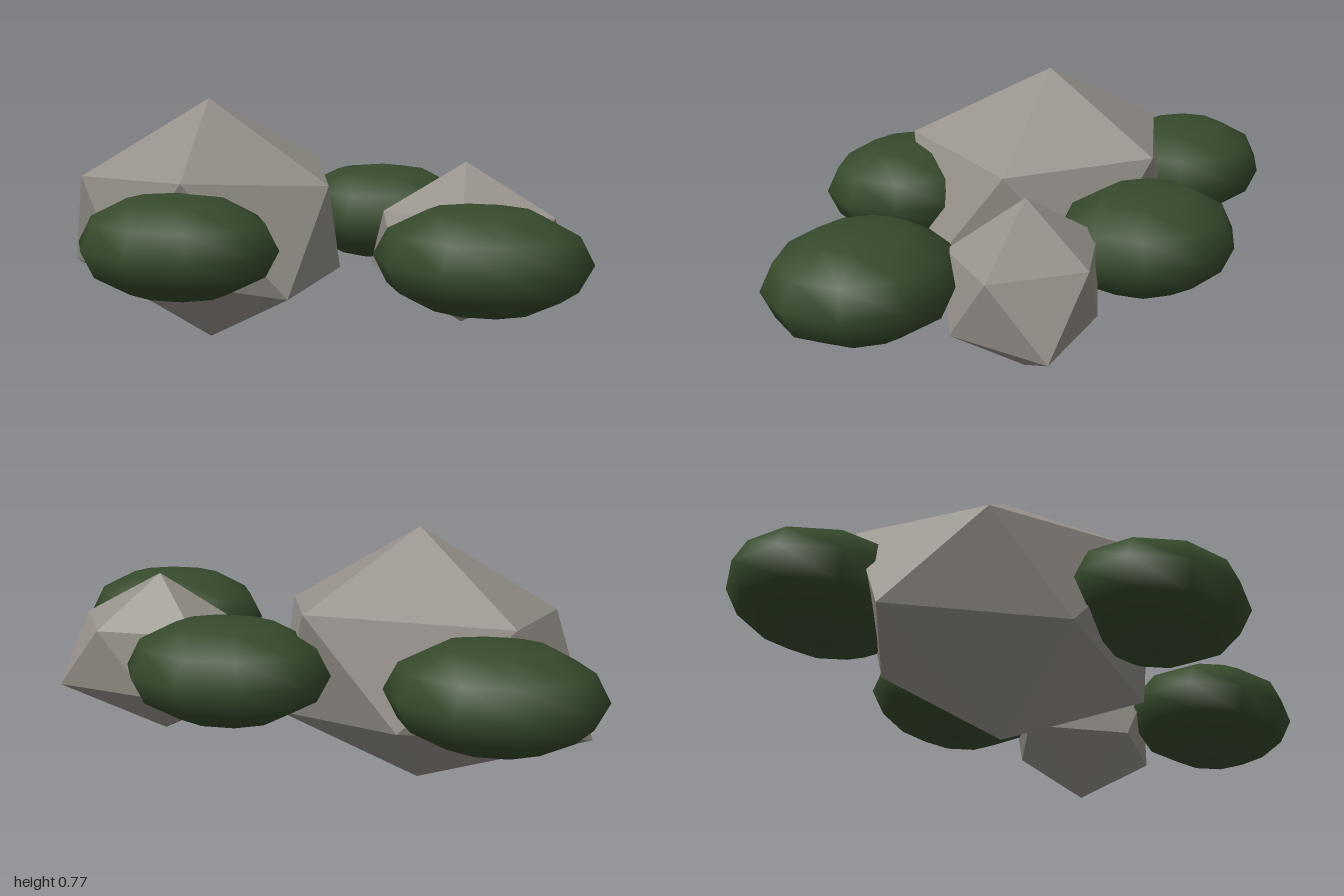
import * as THREE from 'three';

const stone = new THREE.MeshStandardMaterial({ color: 0x96918a, flatShading: true });
stone.name = 'stone';
const leaf = new THREE.MeshStandardMaterial({ color: 0x364a2c });
leaf.name = 'leaf';

// Irregular 20-sided boulder: top point, upper ring, lower ring, bottom point.
// Each lower point sits between upper points i and i + 1.
function boulder(name, top, upper, lower, bottom) {
  const points = [];
  for (let i = 0; i < 5; i++) {
    const j = (i + 1) % 5;
    points.push(
      top, upper[j], upper[i],
      upper[i], upper[j], lower[i],
      lower[i], upper[j], lower[j],
      bottom, lower[i], lower[j],
    );
  }
  const geometry = new THREE.BufferGeometry();
  geometry.setAttribute('position', new THREE.Float32BufferAttribute(points.flat(), 3));
  geometry.computeVertexNormals();
  const mesh = new THREE.Mesh(geometry, stone);
  mesh.name = name;
  return mesh;
}

// Flattened, smooth ten-sided bush
function bush(name, x, z) {
  const geometry = new THREE.SphereGeometry(1, 10, 6);
  geometry.rotateY(Math.PI / 2);
  geometry.scale(0.312, 0.156, 0.267);
  const mesh = new THREE.Mesh(geometry, leaf);
  mesh.name = name;
  mesh.position.set(x, 0.385, z);
  return mesh;
}

export function createModel() {
  const group = new THREE.Group();
  group.name = 'rocksAndBushes';

  group.add(boulder('largeRock',
    [-0.31, 0.775, 0.01],
    [[0.12, 0.525, 0], [-0.14, 0.565, 0.42], [-0.67, 0.525, 0.21], [-0.72, 0.545, -0.22], [-0.14, 0.56, -0.39]],
    [[0.115, 0.215, 0.24], [-0.43, 0.245, 0.33], [-0.87, 0.2, 0], [-0.42, 0.24, -0.35], [0.03, 0.22, -0.24]],
    [-0.31, 0, 0.01]));

  group.add(boulder('smallRock',
    [0.48, 0.6, -0.215],
    [[0.77, 0.45, -0.215], [0.56, 0.45, -0.01], [0.255, 0.445, -0.105], [0.26, 0.445, -0.35], [0.565, 0.445, -0.43]],
    [[0.7, 0.26, -0.08], [0.38, 0.25, 0.03], [0.16, 0.255, -0.21], [0.4, 0.25, -0.4], [0.755, 0.245, -0.385]],
    [0.475, 0.1, -0.21]));

  group.add(
    bush('backRightBush', -0.703, -0.328),
    bush('backBush', 0.083, -0.44),
    bush('leftBush', 0.7, 0.173),
    bush('frontBush', -0.143, 0.433),
  );
  return group;
}
